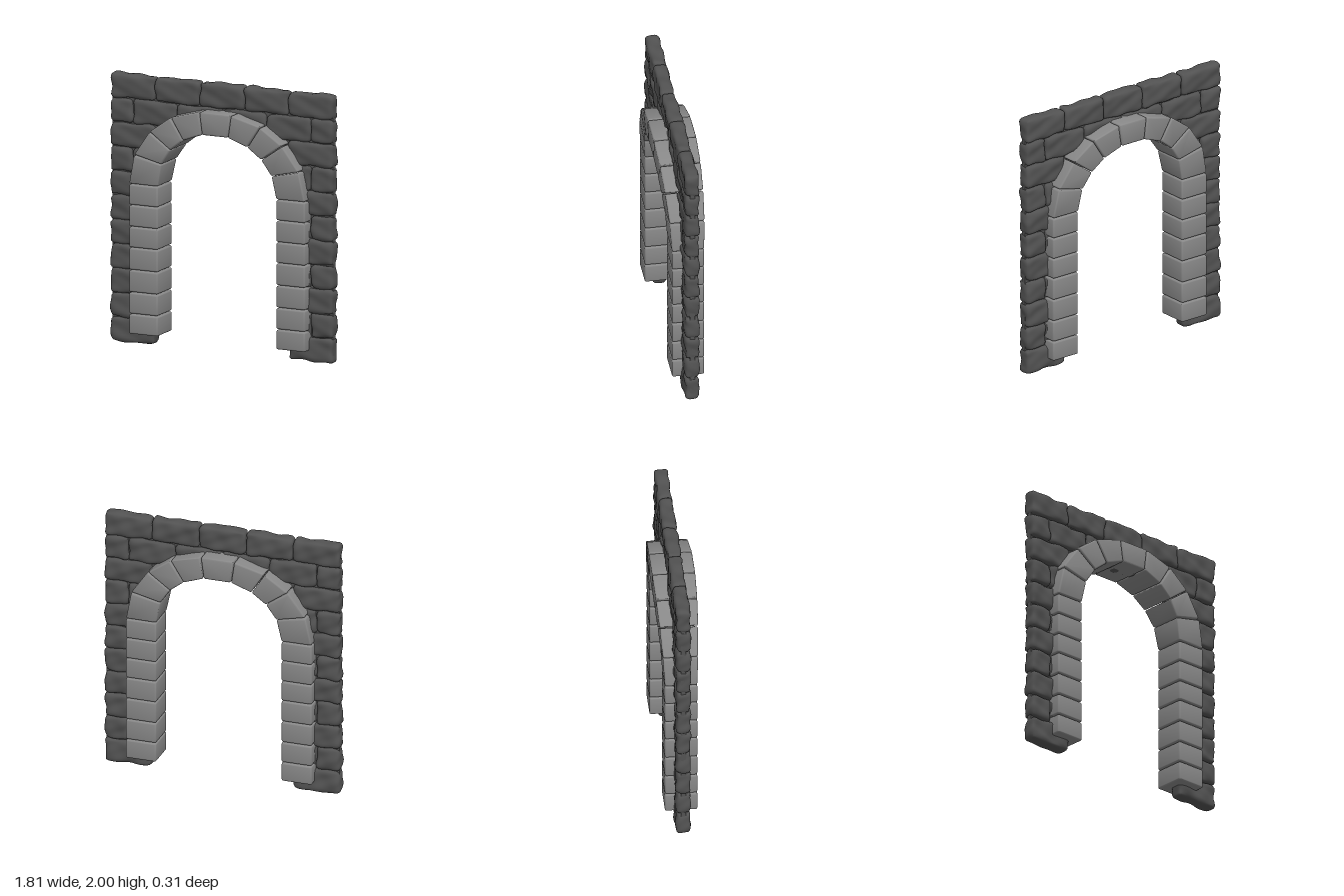
import * as THREE from 'three';
import { mergeVertices, toCreasedNormals } from 'three/addons/utils/BufferGeometryUtils.js';
import { RoundedBoxGeometry } from 'three/addons/geometries/RoundedBoxGeometry.js';

const wallMat = new THREE.MeshStandardMaterial({ color: 0x525252 });
const archMat = new THREE.MeshStandardMaterial({ color: 0x888888 });

function addMesh(parent, geometry, material, name) {
  const mesh = new THREE.Mesh(geometry, material);
  mesh.name = name;
  parent.add(mesh);
}

// Rough wall stone: a subdivided box with rounded edges and a wavy surface
function roughStone(w, h, d, seed) {
  const step = 0.018, r = 0.03;
  let geo = new THREE.BoxGeometry(w, h, d, Math.ceil(w / step), Math.ceil(h / step), 6);
  geo.deleteAttribute('uv');
  geo.deleteAttribute('normal');
  geo = mergeVertices(geo);
  const inner = new THREE.Vector3(w / 2 - r, h / 2 - r, d / 2 - r);
  const p = new THREE.Vector3(), core = new THREE.Vector3();
  const pos = geo.attributes.position;
  for (let i = 0; i < pos.count; i++) {
    p.fromBufferAttribute(pos, i);
    core.copy(p).clamp(inner.clone().negate(), inner);
    const n = p.clone().sub(core).normalize();
    const wave = 0.45 * Math.sin(13 * p.x + 31 * p.y + 9 * p.z + seed * 2.3)
      + 0.35 * Math.sin(37 * p.x - 22 * p.y + 25 * p.z + seed * 4.1)
      + 0.25 * Math.sin(29 * p.x + 63 * p.y - 41 * p.z + seed * 1.7);
    p.copy(core).addScaledVector(n, r + 0.009 * wave);
    pos.setXYZ(i, p.x, p.y, p.z);
  }
  geo.computeVertexNormals();
  return geo;
}

// Bevelled block fitted between two joints of the arch
function archBlock(j0, j1) {
  const mid0 = [(j0.in[0] + j0.out[0]) / 2, (j0.in[1] + j0.out[1]) / 2];
  const mid1 = [(j1.in[0] + j1.out[0]) / 2, (j1.in[1] + j1.out[1]) / 2];
  const length = Math.hypot(mid1[0] - mid0[0], mid1[1] - mid0[1]);
  const width = Math.hypot(j0.out[0] - j0.in[0], j0.out[1] - j0.in[1]);
  const depth = j0.depth + j1.depth, gap = 0.003;
  const geo = new RoundedBoxGeometry(width, length, depth, 2, 0.013);
  const pos = geo.attributes.position;
  const lerp = THREE.MathUtils.lerp;
  for (let i = 0; i < pos.count; i++) {
    const u = pos.getX(i) / width + 0.5;
    const v = (pos.getY(i) / length) * (1 - 2 * gap / length) + 0.5;
    const w = (pos.getZ(i) / depth) * 2;
    const at = k => lerp(lerp(j0.in[k], j0.out[k], u), lerp(j1.in[k], j1.out[k], u), v);
    pos.setXYZ(i, at(0), at(1), w * lerp(j0.depth, j1.depth, v));
  }
  return toCreasedNormals(geo, 0.6);
}

export function createModel() {
  const model = new THREE.Group();
  model.name = 'stoneArchway';

  // Wall courses, alternating long and short stones at the outer edge
  const wall = new THREE.Group();
  wall.name = 'wall';
  model.add(wall);
  const rowH = 0.18;
  let seed = 1;
  for (let row = 0; row < 11; row++) {
    let spans;
    if (row === 10) spans = [[-0.9, -0.54], [-0.54, -0.18], [-0.18, 0.18], [0.18, 0.54], [0.54, 0.9]];
    else {
      const half = row % 2 === 0 ? [[0.54, 0.9]] : [[0.72, 0.9], row === 9 ? [0.36, 0.72] : [0.54, 0.72]];
      spans = half.flatMap(([a, b]) => [[a, b], [-b, -a]]);
      if (row === 9) spans.push([-0.36, 0], [0, 0.36]);
    }
    const y = 0.01 + rowH * (row + 0.5);
    for (const [a, b] of spans) {
      const geo = roughStone(b - a - 0.002, rowH - 0.002, 0.104, seed++);
      geo.translate((a + b) / 2, y, 0);
      addMesh(wall, geo, wallMat, 'wallStone');
    }
  }

  // Thin mortar slab inside the wall, cut out around the opening
  const slab = new THREE.Shape();
  slab.moveTo(0.893, 0.04);
  slab.lineTo(0.893, 1.83);
  slab.lineTo(-0.893, 1.83);
  slab.lineTo(-0.893, 0.04);
  slab.lineTo(-0.57, 0.04);
  slab.lineTo(-0.57, 1.2);
  slab.absellipse(0, 1.2, 0.57, 0.5, Math.PI, 0, true);
  slab.lineTo(0.57, 0.04);
  const slabGeo = new THREE.ExtrudeGeometry(slab, { depth: 0.036, bevelEnabled: false, curveSegments: 24 });
  slabGeo.translate(0, 0, -0.018);
  addMesh(wall, slabGeo, wallMat, 'mortarCore');

  // Arch joints from the left foot up to the crown, then mirrored down
  const joints = [0.09, 0.24, 0.4, 0.565, 0.73, 0.885, 1.045, 1.2]
    .map(y => ({ in: [0.48, y], out: [0.712, y], depth: 0.118 }));
  joints.push(
    { in: [0.445, 1.37], out: [0.668, 1.42], depth: 0.128 },
    { in: [0.368, 1.485], out: [0.538, 1.605], depth: 0.14 },
    { in: [0.26, 1.57], out: [0.362, 1.73], depth: 0.15 },
    { in: [0.105, 1.627], out: [0.128, 1.795], depth: 0.156 },
  );
  const mirrored = joints.map(j => ({ in: [-j.in[0], j.in[1]], out: [-j.out[0], j.out[1]], depth: j.depth }));
  const path = [...joints, ...mirrored.reverse()];
  const arch = new THREE.Group();
  arch.name = 'arch';
  model.add(arch);
  for (let i = 0; i < path.length - 1; i++) {
    const name = i === 11 ? 'keystone' : i < 7 || i > 15 ? 'pillarBlock' : 'archBlock';
    addMesh(arch, archBlock(path[i], path[i + 1]), archMat, name);
  }
  return model;
}
